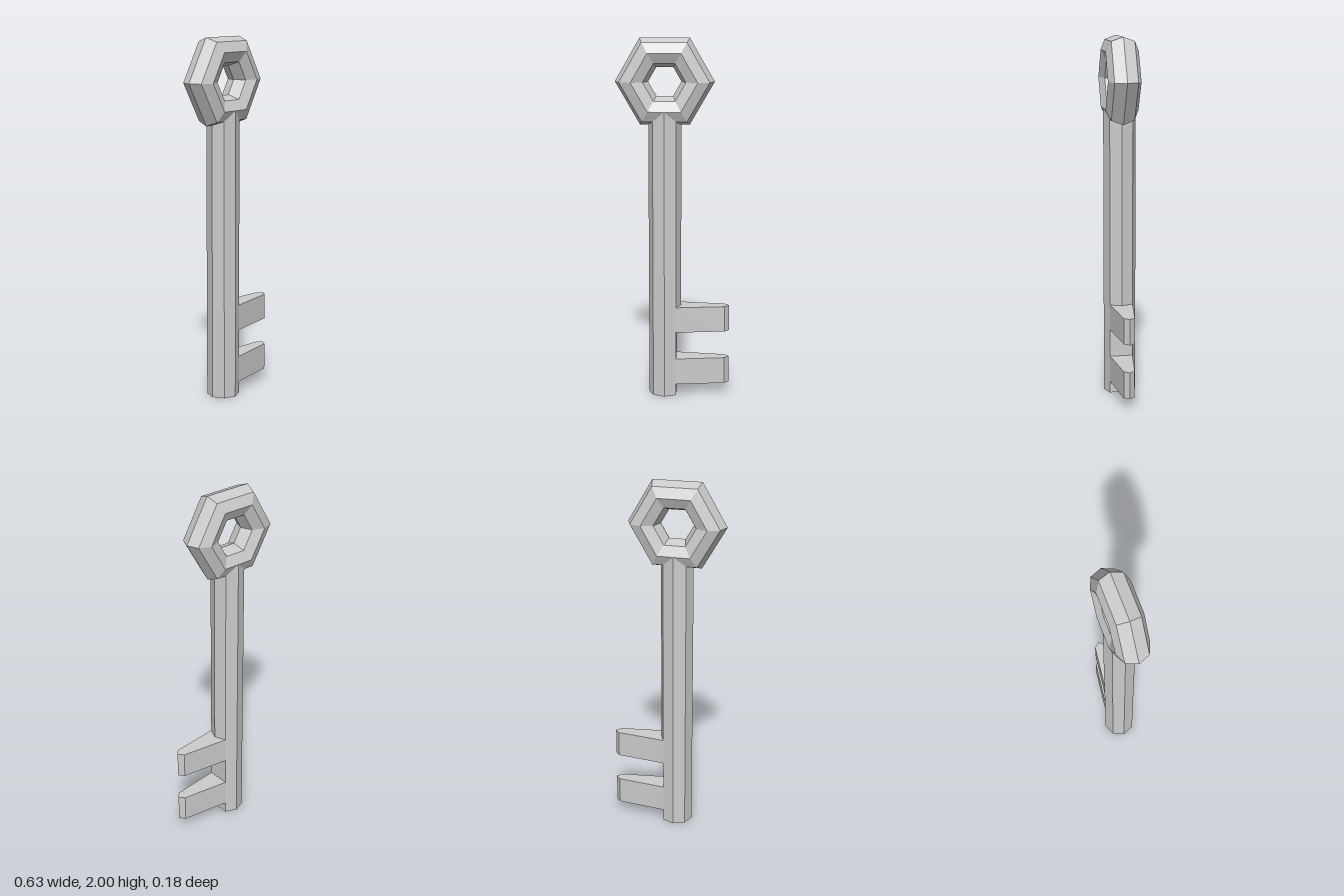
import * as THREE from 'three';

const material = new THREE.MeshStandardMaterial({ color: 0xcccccc, flatShading: true });
const AXIS_X = -0.045; // shaft and bow share this axis
const R = 0.09; // shaft radius and bow tube radius

// Upright prism: an outline in x and z, standing from y0 to y1
function prism(name, points, y0, y1) {
  const shape = new THREE.Shape(points.map(([x, z]) => new THREE.Vector2(x, z)));
  const geometry = new THREE.ExtrudeGeometry(shape, { depth: y1 - y0, bevelEnabled: false });
  geometry.rotateX(-Math.PI / 2).translate(0, y0, 0);
  const mesh = new THREE.Mesh(geometry, material);
  mesh.name = name;
  return mesh;
}

export function createModel() {
  const key = new THREE.Group();
  key.name = 'key';

  // Six-sided bow with an eight-sided tube
  const bow = new THREE.Mesh(new THREE.TorusGeometry(0.18, R, 8, 6), material);
  bow.name = 'bow';
  bow.position.set(AXIS_X, 1.766, 0);
  key.add(bow);

  // Octagonal shaft; the lower part is flat on the side that carries the teeth
  const octagon = Array.from({ length: 8 }, (_, i) => [
    AXIS_X + R * Math.cos((i * Math.PI) / 4),
    R * Math.sin((i * Math.PI) / 4),
  ]);
  key.add(prism('upperShaft', octagon, 0.515, 1.61));
  key.add(prism('lowerShaft', octagon.slice(1), 0, 0.515));

  // Two teeth, tapering to a blunt point
  const toothOutline = [[0.018, -0.064], [0.29, -0.03], [0.315, 0], [0.29, 0.03], [0.018, 0.064]];
  key.add(prism('lowerTooth', toothOutline, 0.065, 0.215));
  key.add(prism('upperTooth', toothOutline, 0.37, 0.515));

  return key;
}
